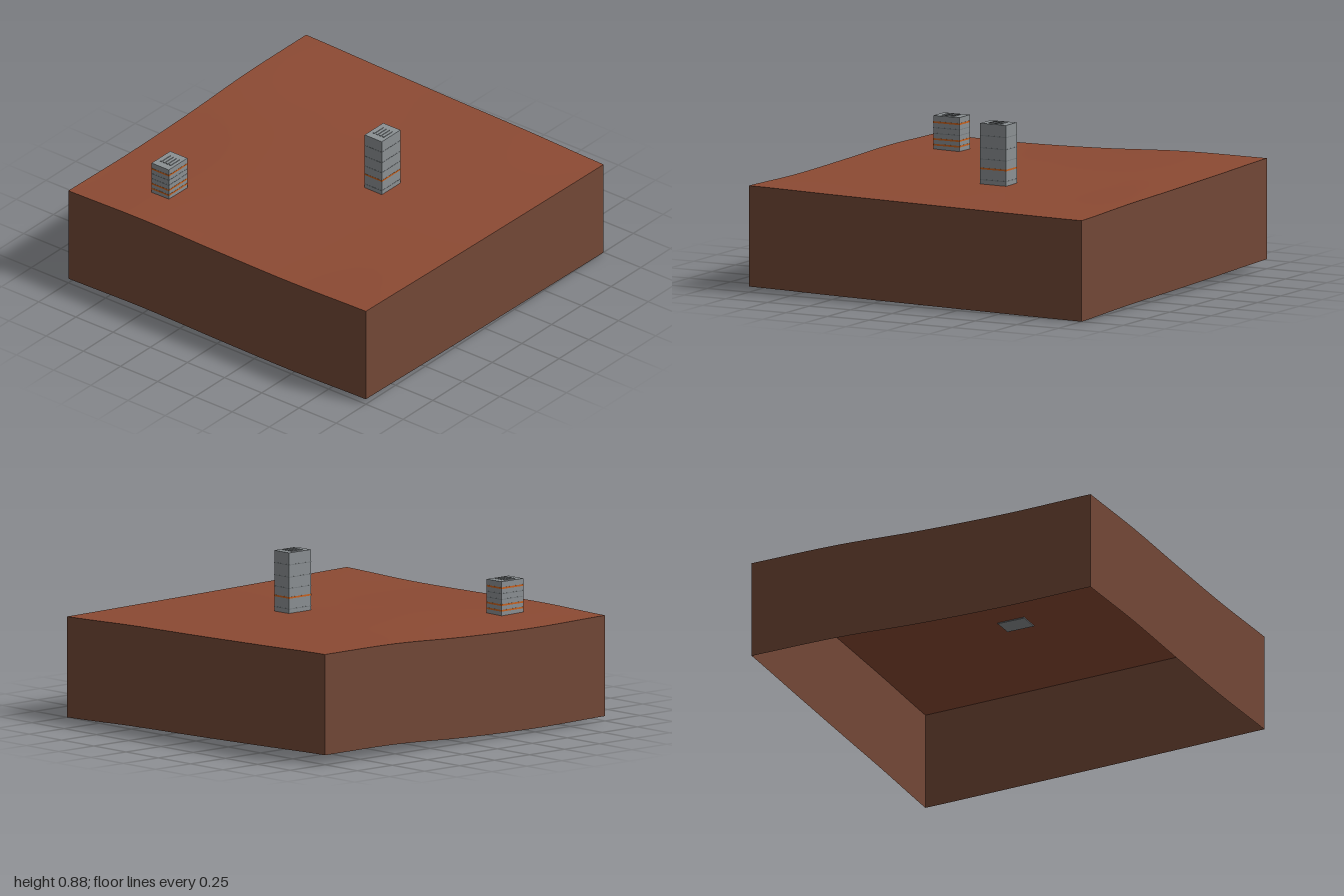
import * as THREE from 'three';

const mat = (name, color, side = THREE.FrontSide) => {
  const m = new THREE.MeshStandardMaterial({ color, side });
  m.name = name;
  return m;
};

// Ground heights: rows run back to front, columns run from -x to +x, 0.5 apart
const HEIGHTS = [
  [0.588, 0.575, 0.563, 0.553, 0.537],
  [0.587, 0.573, 0.560, 0.550, 0.543],
  [0.565, 0.567, 0.560, 0.555, 0.550],
  [0.556, 0.564, 0.560, 0.555, 0.558],
  [0.563, 0.571, 0.562, 0.557, 0.567],
];
const DEPTH = 0.537;
const SEGMENTS = 24;

// Smooth curve through five evenly spaced values, u from -1 to 1
function smooth(values, u) {
  const t = (u + 1) * 2;
  const i = Math.max(0, Math.min(3, Math.floor(t)));
  const f = t - i;
  const at = k => values[Math.max(0, Math.min(4, k))];
  const [a, b, c, d] = [at(i - 1), at(i), at(i + 1), at(i + 2)];
  return b + 0.5 * f * (c - a + f * (2 * a - 5 * b + 4 * c - d + f * (3 * (b - c) + d - a)));
}
const groundY = (x, z) => smooth(HEIGHTS.map(row => smooth(row, x)), z);

// Drop a geometry onto the ground, lowering its vertices by offset(y)
function drape(geo, offset) {
  const p = geo.attributes.position;
  for (let i = 0; i < p.count; i++) {
    p.setY(i, groundY(p.getX(i), p.getZ(i)) - offset(p.getY(i)));
  }
  geo.computeVertexNormals();
  return geo;
}

function add(parent, name, geo, material, x = 0, y = 0, z = 0) {
  const mesh = new THREE.Mesh(geo, material);
  mesh.name = name;
  mesh.position.set(x, y, z);
  parent.add(mesh);
  return mesh;
}

export function createModel() {
  const model = new THREE.Group();
  model.name = 'terrainTile';
  const soil = mat('red soil', 0x8c4a33, THREE.DoubleSide);
  const earth = mat('brown earth', 0x724736, THREE.DoubleSide);
  const concrete = mat('grey concrete', 0x8b9093);
  const ledgeGrey = mat('dark grey ledge', 0x787d80);
  const orange = mat('orange lights', 0xc8621f);

  // Rolling ground surface
  const ground = new THREE.PlaneGeometry(2, 2, SEGMENTS, SEGMENTS).rotateX(-Math.PI / 2);
  add(model, 'ground', drape(ground, () => 0), soil);

  // Four skirt walls, open underneath, following the ground
  ['front', 'left', 'back', 'right'].forEach((side, k) => {
    const wall = new THREE.PlaneGeometry(2, 1, SEGMENTS, 1)
      .translate(0, 0, 1).rotateY(k * Math.PI / 2);
    add(model, side + 'Wall', drape(wall, y => (y > 0 ? 0 : DEPTH)), earth);
  });

  // Tower block with one thin band per floor and fins on the roof
  function tower(name, x, z, base, top, bands) {
    const g = new THREE.Group();
    g.name = name;
    g.position.set(x, 0, z);
    const w = 0.115, d = 0.156;
    add(g, 'towerBody', new THREE.BoxGeometry(w, top - base, d), concrete, 0, (top + base) / 2, 0);
    for (const [y, lit] of bands) {
      const band = new THREE.BoxGeometry(w + 0.002, lit ? 0.009 : 0.004, d + 0.002);
      add(g, lit ? 'litBand' : 'floorBand', band, lit ? orange : ledgeGrey, 0, y, 0);
    }
    for (let i = 0; i < 4; i++) {
      add(g, 'roofFin', new THREE.BoxGeometry(0.011, 0.005, 0.075), concrete,
        -0.03 + i * 0.021, top + 0.0015, 0);
    }
    model.add(g);
  }
  tower('tallTower', 0.248, -0.081, 0.552, 0.88,
    [[0.58, false], [0.64, true], [0.69, false], [0.75, false], [0.815, false]]);
  tower('shortTower', -0.587, 0.666, 0.56, 0.745,
    [[0.59, true], [0.62, true], [0.65, false], [0.68, false], [0.71, true]]);

  return model;
}
